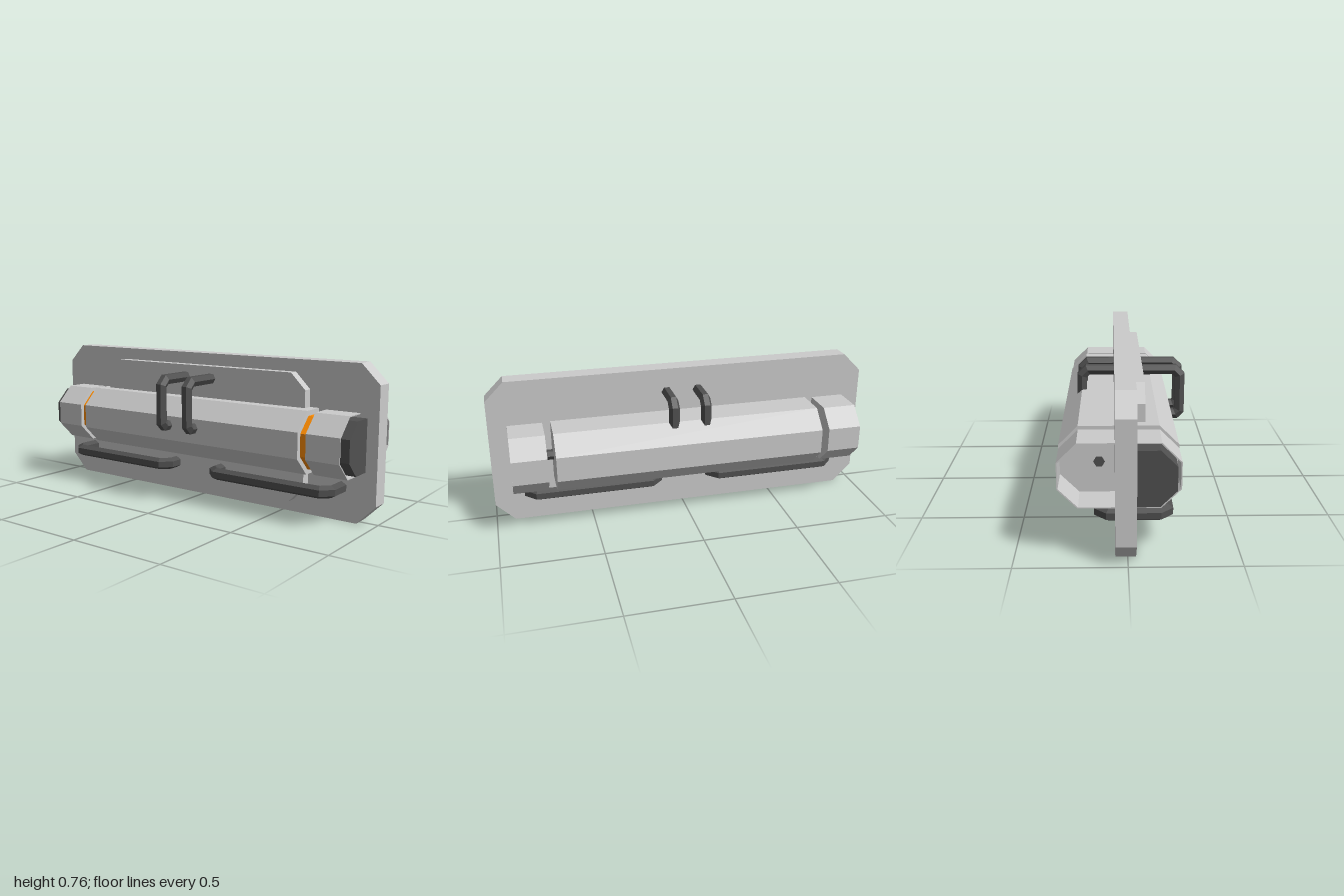
import * as THREE from 'three';

const material = (color) => new THREE.MeshStandardMaterial({ color, flatShading: true, side: THREE.DoubleSide });

// Rectangle with cut corners
function cutRect(u0, v0, u1, v1, c) {
  return new THREE.Shape([
    [u0 + c, v0], [u1 - c, v0], [u1, v0 + c], [u1, v1 - c],
    [u1 - c, v1], [u0 + c, v1], [u0, v1 - c], [u0, v0 + c],
  ].map(([u, v]) => new THREE.Vector2(u, v)));
}

function slab(shape, z0, z1) {
  return new THREE.ExtrudeGeometry(shape, { depth: z1 - z0, bevelEnabled: false }).translate(0, 0, z0);
}

// Prism running along x; the shape is drawn in (z, y)
function prismX(shape, x0, x1) {
  return slab(shape, -x1, -x0).rotateY(-Math.PI / 2);
}

// Six-sided bar with mitred bends along a flat path
function hexBar(path, r, closed) {
  const pts = path.map(([u, v]) => new THREE.Vector2(u, v));
  const n = pts.length, pos = [], index = [];
  const dir = (i) => pts[(i + 1) % n].clone().sub(pts[(i + n) % n]).normalize();
  for (let i = 0; i < n; i++) {
    const a = !closed && i === 0 ? dir(0) : dir(i - 1 + n);
    const b = !closed && i === n - 1 ? a : dir(i);
    const t = a.clone().add(b).normalize();
    const stretch = 1 / t.dot(a);
    for (let k = 0; k < 6; k++) {
      const w = k * Math.PI / 3, s = Math.sin(w) * r * stretch;
      pos.push(pts[i].x - t.y * s, pts[i].y + t.x * s, Math.cos(w) * r);
    }
  }
  for (let i = 0; i < (closed ? n : n - 1); i++) {
    for (let k = 0; k < 6; k++) {
      const i1 = (i + 1) % n, k1 = (k + 1) % 6;
      const a = i * 6 + k, b = i1 * 6 + k, c = i1 * 6 + k1, d = i * 6 + k1;
      index.push(a, b, c, a, c, d);
    }
  }
  const g = new THREE.BufferGeometry();
  g.setAttribute('position', new THREE.Float32BufferAttribute(pos, 3));
  g.setIndex(index);
  g.computeVertexNormals();
  return g;
}

export function createModel() {
  const model = new THREE.Group();
  const grey = material(0xcccccc), dark = material(0x505050), orange = material(0xff8c00);
  const add = (name, geometry, mat) => {
    const mesh = new THREE.Mesh(geometry, mat);
    mesh.name = name;
    model.add(mesh);
  };

  // Upright plate and the raised panel on its front
  add('backPlate', slab(cutRect(-1, 0, 1, 0.765, 0.096), -0.055, 0.037), grey);
  add('frontPanel', slab(cutRect(-0.64, 0.062, 0.64, 0.703, 0.08), 0.037, 0.085), grey);

  // Long eight-sided body passing through the plate
  add('body', prismX(cutRect(-0.31, 0.23, 0.237, 0.537, 0.09), -0.69, 0.69), grey);

  for (const side of [1, -1]) {
    const label = side > 0 ? 'left' : 'right';
    const span = (a, b) => (side > 0 ? [a, b] : [-b, -a]);

    // Hollow end sleeve, closed on the inner side
    const sleeve = cutRect(-0.306, 0.234, 0.233, 0.533, 0.088);
    sleeve.holes.push(cutRect(-0.301, 0.239, 0.228, 0.528, 0.086));
    add(label + 'EndSleeve', prismX(sleeve, ...span(0.73, 0.905)), grey);
    add(label + 'SleeveBase', prismX(cutRect(-0.303, 0.237, 0.23, 0.53, 0.087), ...span(0.73, 0.735)), grey);

    // Front half core: orange band in the gap, dark plug at the end
    const core = () => new THREE.Shape([
      [0, 0.255], [0.138, 0.255], [0.212, 0.329], [0.212, 0.438], [0.138, 0.512], [0, 0.512],
    ].map(([z, y]) => new THREE.Vector2(z, y)));
    add(label + 'Band', prismX(core(), ...span(0.688, 0.732)), orange);
    add(label + 'EndPlug', prismX(core(), ...span(0.735, 0.942)), dark);

    // Small pin joining body and sleeve at the back
    const pin = new THREE.CylinderGeometry(0.026, 0.026, 0.06, 6).rotateZ(Math.PI / 2);
    add(label + 'Pin', pin.translate(side * 0.71, 0.385, -0.125), dark);

    // Upper handle, arching over the plate into the body
    const arch = [
      [0.2, 0.4], [0.268, 0.4], [0.288, 0.42], [0.288, 0.61], [0.258, 0.64],
      [-0.19, 0.64], [-0.22, 0.61], [-0.22, 0.5],
    ];
    add(label + 'UpperHandle', hexBar(arch, 0.028, false).rotateY(-Math.PI / 2).translate(side * 0.083, 0, 0), dark);

    // Lower handle, a flat loop through the plate
    const [x0, x1] = span(0.15, 0.82);
    const c = 0.04, zf = -0.18, zb = 0.123;
    const loop = [
      [x0 + c, zf], [x1 - c, zf], [x1, zf + c], [x1, zb - c],
      [x1 - c, zb], [x0 + c, zb], [x0, zb - c], [x0, zf + c],
    ];
    add(label + 'LowerHandle', hexBar(loop, 0.031, true).rotateX(-Math.PI / 2).translate(0, 0.166, 0), dark);
  }
  return model;
}
